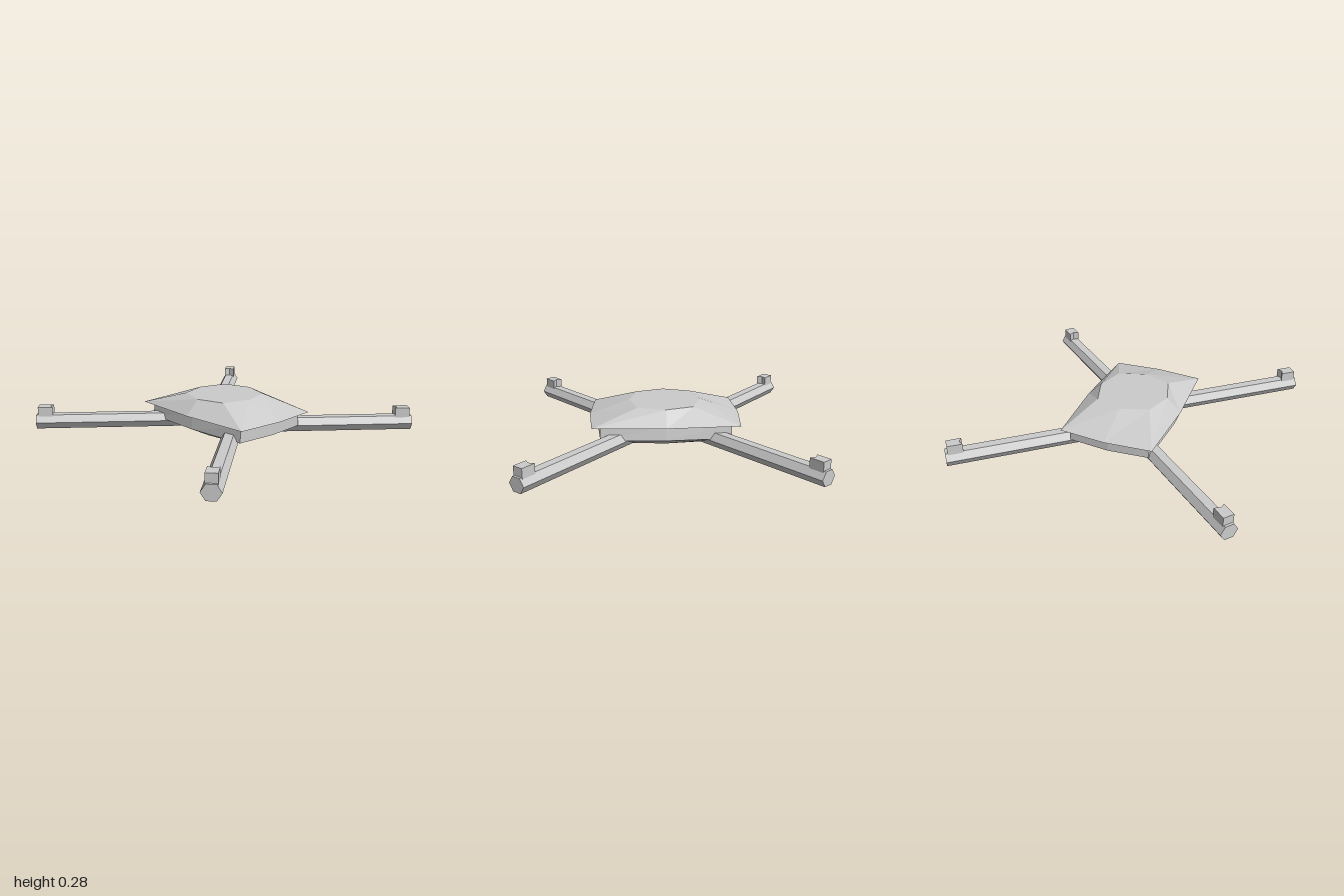
import * as THREE from 'three';

const material = new THREE.MeshStandardMaterial({ color: 0xcccccc, flatShading: true });

// Eight-sided ring: corners at (cx, cz), slightly bulged side midpoints at mx, mz
function ring(y, cx, cz, mx, mz, shift = 0.01) {
  return [[0, mz], [cx, cz], [mx, 0], [cx, -cz], [0, -mz], [-cx, -cz], [-mx, 0], [-cx, cz]]
    .map(([x, z]) => [x, y, z + shift]);
}

// Closed, faceted loft through rings listed from bottom to top
function loft(rings) {
  const pos = [];
  const tri = (a, b, c) => pos.push(...a, ...b, ...c);
  const n = rings[0].length;
  for (let r = 0; r < rings.length - 1; r++) {
    const lo = rings[r], hi = rings[r + 1];
    for (let i = 0; i < n; i++) {
      const j = (i + 1) % n;
      tri(lo[i], lo[j], hi[j]);
      tri(lo[i], hi[j], hi[i]);
    }
  }
  const bottom = rings[0], top = rings[rings.length - 1];
  for (let i = 1; i < n - 1; i++) {
    tri(bottom[0], bottom[i + 1], bottom[i]);
    tri(top[0], top[i], top[i + 1]);
  }
  const geo = new THREE.BufferGeometry();
  geo.setAttribute('position', new THREE.Float32BufferAttribute(pos, 3));
  geo.computeVertexNormals();
  return geo;
}

function part(name, geo, parent) {
  const mesh = new THREE.Mesh(geo, material);
  mesh.name = name;
  parent.add(mesh);
  return mesh;
}

export function createModel() {
  const model = new THREE.Group();
  model.name = 'quadcopter';

  // Lower hull: upright walls tapering to a small flat belly
  part('lowerHull', loft([
    ring(0, 0.125, 0.22, 0.15, 0.25),
    ring(0.08, 0.285, 0.445, 0.31, 0.47),
    ring(0.18, 0.275, 0.445, 0.295, 0.47),
  ]), model);

  // Overhanging faceted canopy
  part('canopy', loft([
    ring(0.18, 0.325, 0.5, 0.35, 0.525),
    ring(0.28, 0.19, 0.19, 0.25, 0.25),
  ]), model);

  // Hexagonal arm beam, running back from its tip at the local origin
  const length = 1.05;
  const beamGeo = new THREE.CylinderGeometry(0.062, 0.062, length, 6);
  beamGeo.rotateY(Math.PI / 6).rotateX(Math.PI / 2).scale(1, 0.91, 1);
  beamGeo.translate(0, 0.073, -length / 2);

  // Motor block with a shallow notch on its inner end
  const outline = new THREE.Shape([
    [-0.037, 0.016], [0.037, 0.016], [0.037, 0.118], [0, 0.1], [-0.037, 0.118],
  ].map(([x, y]) => new THREE.Vector2(x, y)));
  const blockGeo = new THREE.ExtrudeGeometry(outline, { depth: 0.08, bevelEnabled: false });
  blockGeo.rotateX(-Math.PI / 2).translate(0, 0.1, 0);

  // Four arms, mirrored left/right and front/back
  for (const sx of [1, -1]) {
    for (const sz of [1, -1]) {
      const arm = new THREE.Group();
      arm.name = (sz > 0 ? 'front' : 'back') + (sx > 0 ? 'Left' : 'Right') + 'Arm';
      arm.position.set(sx * 0.96, 0, sz * 0.917);
      arm.rotation.y = Math.atan2(sx * 0.77, sz * 0.64);
      part('armBeam', beamGeo, arm);
      part('motorBlock', blockGeo, arm);
      model.add(arm);
    }
  }
  return model;
}
